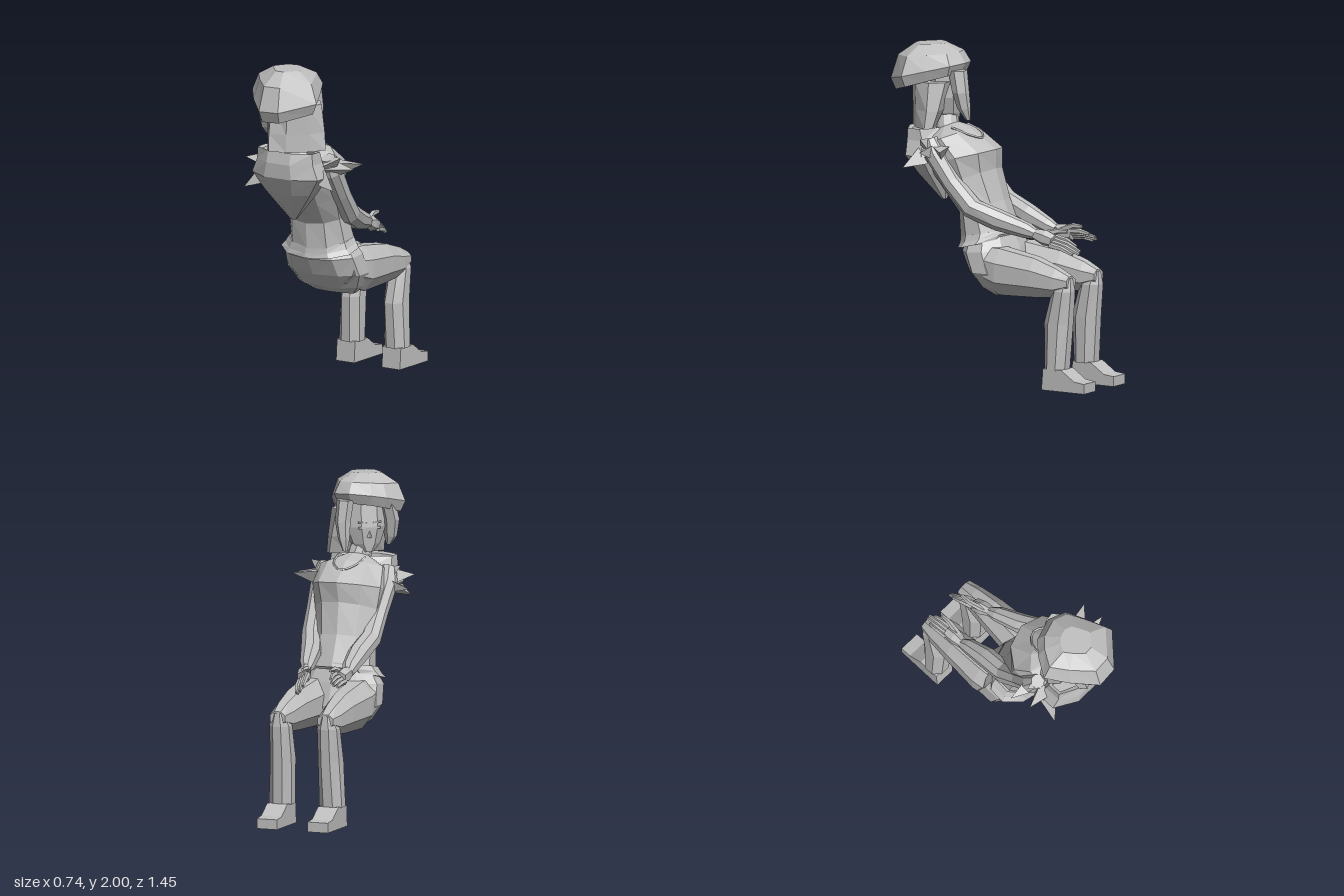
import * as THREE from 'three';

const V = (x, y, z) => new THREE.Vector3(x, y, z);

export function createModel() {
  const model = new THREE.Group();
  model.name = 'seatedFigure';
  const grey = new THREE.MeshStandardMaterial({ color: 0xbfbfbf });
  grey.name = 'plain grey';

  function add(name, geometry, parent = model) {
    const flat = geometry.index ? geometry.toNonIndexed() : geometry;
    flat.computeVertexNormals();
    const mesh = new THREE.Mesh(flat, grey);
    mesh.name = name;
    parent.add(mesh);
    return mesh;
  }

  // Closed faceted skin over rings of equal length, turned outwards
  function skin(rings) {
    const tris = [];
    const n = rings[0].length;
    for (let i = 0; i + 1 < rings.length; i++) {
      for (let j = 0; j < n; j++) {
        const k = (j + 1) % n;
        const [a, b, c, d] = [rings[i][j], rings[i][k], rings[i + 1][k], rings[i + 1][j]];
        tris.push([a, b, c], [a, c, d]);
      }
    }
    const cap = (ring, flip) => {
      const mid = ring.reduce((s, p) => s.add(p), V(0, 0, 0)).divideScalar(n);
      for (let j = 0; j < n; j++) {
        const k = (j + 1) % n;
        tris.push(flip ? [mid, ring[k], ring[j]] : [mid, ring[j], ring[k]]);
      }
    };
    cap(rings[0], true);
    cap(rings[rings.length - 1], false);
    let volume = 0;
    for (const [a, b, c] of tris) volume += a.dot(b.clone().cross(c));
    if (volume < 0) tris.forEach((t) => t.reverse());
    return new THREE.BufferGeometry().setFromPoints(tris.flat());
  }

  // Loft of sections [x, y, z, halfWidth, halfDepth, tilt]; tilt follows the path when omitted
  function loft(sections, n = 8) {
    return skin(sections.map(([x, y, z, rx, rd, tilt], i) => {
      const p = sections[Math.max(i - 1, 0)];
      const q = sections[Math.min(i + 1, sections.length - 1)];
      const a = tilt ?? Math.atan2(q[2] - p[2], -(q[1] - p[1]));
      return Array.from({ length: n }, (_, j) => {
        const t = ((j + 0.5) / n) * Math.PI * 2;
        const grow = 1 / Math.cos(Math.PI / n);
        const u = Math.cos(t) * rx * grow;
        const d = Math.sin(t) * rd * grow;
        return V(x + u, y + d * Math.sin(a), z + d * Math.cos(a));
      });
    }));
  }

  // Torso with neck, leaning back
  add('torso', loft([
    [-0.03, 0.87, 0.075, 0.195, 0.165, -0.15],
    [-0.03, 1.04, 0.12, 0.18, 0.135, -0.3],
    [-0.02, 1.2, 0.2, 0.2, 0.17, -0.4],
    [-0.01, 1.33, 0.25, 0.22, 0.22, -0.25],
    [0, 1.44, 0.33, 0.2, 0.14, -0.4],
    [-0.01, 1.5, 0.37, 0.07, 0.07, -0.4],
    [-0.04, 1.62, 0.4, 0.055, 0.055, -0.2],
  ], 10));

  // Slanting jacket hem and pelvis
  add('jacketHem', loft([
    [-0.035, 0.89, 0.08, 0.2, 0.16, -0.2],
    [-0.04, 0.855, 0.08, 0.22, 0.165, -0.25],
    [-0.04, 0.825, 0.09, 0.245, 0.16, -0.25],
  ], 10));
  add('pelvis', loft([
    [-0.04, 0.86, 0.06, 0.2, 0.14, -0.15],
    [-0.04, 0.79, 0.05, 0.245, 0.165, -0.1],
    [-0.04, 0.67, 0, 0.258, 0.16, 0],
    [-0.04, 0.58, -0.03, 0.21, 0.115, 0],
    [-0.04, 0.53, -0.06, 0.15, 0.05, 0],
  ], 10));

  // Legs and shoes
  for (const side of [-1, 1]) {
    const leg = new THREE.Group();
    leg.name = side > 0 ? 'leftLeg' : 'rightLeg';
    leg.position.x = -0.04;
    model.add(leg);
    const up = Math.PI / 2;
    add('thigh', loft([
      [side * 0.13, 0.72, 0.08, 0.11, 0.1, up],
      [side * 0.145, 0.68, -0.1, 0.112, 0.14, up],
      [side * 0.152, 0.665, -0.34, 0.088, 0.118, up],
      [side * 0.155, 0.645, -0.49, 0.068, 0.088, up],
      [side * 0.155, 0.65, -0.58, 0.05, 0.04, up],
    ]), leg);
    add('shin', loft([
      [side * 0.155, 0.68, -0.56, 0.035, 0.025, 0],
      [side * 0.155, 0.6, -0.53, 0.063, 0.065, 0],
      [side * 0.155, 0.4, -0.495, 0.068, 0.085, 0],
      [side * 0.163, 0.125, -0.49, 0.073, 0.07, 0],
    ]), leg);
    const sole = new THREE.Shape([[0.42, 0], [0.72, 0], [0.72, 0.06], [0.65, 0.068], [0.56, 0.13], [0.43, 0.13]]
      .map(([x, y]) => new THREE.Vector2(x, y)));
    const shoe = new THREE.ExtrudeGeometry(sole, { depth: 0.13, bevelEnabled: false });
    shoe.rotateY(Math.PI / 2);
    shoe.translate(side * 0.165 - 0.065, 0, 0);
    add('shoe', shoe, leg);
  }

  // Arms resting over the lap, hands with four fingers and a thumb
  const arms = [
    { name: 'rightArm', path: [[-0.21, 1.45, 0.36, 0.04], [-0.215, 1.36, 0.32, 0.06], [-0.205, 1.2, 0.21, 0.055], [-0.205, 1.05, 0.08, 0.06], [-0.195, 0.98, -0.08, 0.06], [-0.2, 0.92, -0.22, 0.045], [-0.21, 0.9, -0.27, 0.03]],
      palm: [-0.21, 0.885, -0.39], tip: [-0.225, 0.87, -0.54], thumb: [-0.18, 0.94, -0.47], out: -1 },
    { name: 'leftArm', path: [[0.2, 1.45, 0.36, 0.04], [0.205, 1.36, 0.32, 0.06], [0.195, 1.2, 0.21, 0.055], [0.17, 1.05, 0.08, 0.06], [0.11, 0.98, -0.08, 0.06], [0.065, 0.93, -0.24, 0.045], [0.05, 0.91, -0.29, 0.03]],
      palm: [0.025, 0.875, -0.4], tip: [-0.015, 0.81, -0.56], thumb: [-0.005, 0.935, -0.48], out: 1 },
  ];
  for (const { name, path, palm, tip, thumb, out } of arms) {
    const arm = new THREE.Group();
    arm.name = name;
    model.add(arm);
    add('sleeve', loft(path.map(([x, y, z, r]) => [x, y, z, r, r])), arm);
    const [wx, wy, wz] = path[path.length - 1];
    add('palm', loft([
      [wx, wy, wz, 0.028, 0.03],
      [(wx + palm[0]) / 2, (wy + palm[1]) / 2, (wz + palm[2]) / 2, 0.038, 0.042],
      [...palm, 0.036, 0.034],
    ], 6), arm);
    for (let i = 0; i < 4; i++) {
      const fx = (i - 1.5) * 0.018;
      const fy = -(i - 1.5) * 0.015 * out;
      const reach = i === 0 || i === 3 ? 0.8 : 1;
      const end = palm.map((v, k) => v + (tip[k] - v) * reach);
      add('finger', loft([
        [palm[0] + fx, palm[1] + fy, palm[2] + 0.01, 0.013, 0.014],
        [(palm[0] + end[0]) / 2 + fx, (palm[1] + end[1]) / 2 + 0.008 + fy, (palm[2] + end[2]) / 2, 0.012, 0.013],
        [end[0] + fx * 0.8, end[1] + fy, end[2], 0.007, 0.008],
      ], 5), arm);
    }
    add('thumb', loft([
      [wx - out * 0.02, wy, wz - 0.03, 0.016, 0.018],
      [thumb[0], thumb[1], thumb[2] + 0.06, 0.013, 0.014],
      [...thumb, 0.008, 0.009],
    ], 5), arm);
  }

  // Hollow hood hanging behind the shoulders, coming to a point low on the back
  add('hood', loft([
    [0, 1.39, 0.46, 0.15, 0.08, 0],
    [0, 1.49, 0.48, 0.175, 0.075, 0],
    [0, 1.5, 0.48, 0.195, 0.1, 0],
    [0, 1.43, 0.47, 0.2, 0.128, 0],
    [-0.005, 1.34, 0.46, 0.235, 0.135, 0],
    [-0.01, 1.23, 0.44, 0.16, 0.095, 0],
    [-0.02, 1.055, 0.4, 0.02, 0.015, 0],
  ], 8));

  // Ragged spikes of cloth at the shoulders
  const spikes = [
    [-0.37, 1.33, 0.29], [-0.35, 1.4, 0.43], [-0.27, 1.25, 0.56], [-0.29, 1.46, 0.35],
    [0.35, 1.4, 0.2], [0.37, 1.39, 0.33], [0.32, 1.28, 0.48], [0.3, 1.46, 0.37],
  ];
  for (const [x, y, z] of spikes) {
    const base = V(Math.sign(x) * 0.2, 1.37 + (y - 1.37) * 0.4, 0.36 + (z - 0.36) * 0.5);
    const axis = V(x, y, z).sub(base);
    const length = axis.length();
    const cone = new THREE.ConeGeometry(0.065, length, 3);
    cone.translate(0, length / 2, 0);
    cone.applyQuaternion(new THREE.Quaternion().setFromUnitVectors(V(0, 1, 0), axis.normalize()));
    cone.translate(base.x, base.y, base.z);
    add('shoulderSpike', cone);
  }

  // Necklace
  const chain = new THREE.CatmullRomCurve3([V(-0.09, 1.51, 0.28), V(-0.07, 1.475, 0.17), V(0, 1.45, 0.12), V(0.07, 1.475, 0.17), V(0.09, 1.51, 0.28)]);
  add('necklace', new THREE.TubeGeometry(chain, 12, 0.007, 4));

  // Head, turned towards the right knee; its local +z is the face
  const head = new THREE.Group();
  head.name = 'head';
  head.position.set(0, 1.66, 0.43);
  head.rotation.y = THREE.MathUtils.degToRad(-140);
  model.add(head);
  add('face', loft([
    [0.01, -0.13, 0.09, 0.035, 0.035, 0],
    [0.01, -0.08, 0.05, 0.085, 0.08, 0],
    [0.01, 0.02, 0.03, 0.12, 0.11, 0],
    [0.01, 0.16, 0.01, 0.12, 0.11, 0],
  ], 8), head);
  const nose = add('nose', new THREE.ConeGeometry(0.016, 0.05, 4), head);
  nose.position.set(0.01, -0.015, 0.135);
  for (const s of [-1, 1]) {
    const eye = add('eye', new THREE.BoxGeometry(0.045, 0.012, 0.008), head);
    eye.position.set(0.01 + s * 0.045, 0.02, 0.14);
    const brow = add('eyebrow', new THREE.BoxGeometry(0.055, 0.009, 0.009), head);
    brow.position.set(0.01 + s * 0.045, 0.05, 0.138);
    brow.rotation.z = s * 0.15;
  }
  // Hair locks framing the face, the left one hanging longer and forward
  add('leftHairLock', loft([
    [-0.13, 0.19, 0.1, 0.045, 0.05, 0],
    [-0.15, 0.06, 0.115, 0.04, 0.045, 0],
    [-0.15, -0.04, 0.135, 0.03, 0.035, 0],
    [-0.15, -0.11, 0.16, 0.012, 0.012, 0],
  ], 6), head);
  add('rightHairLock', loft([
    [0.14, 0.16, 0.07, 0.04, 0.08, 0],
    [0.16, 0.06, 0.08, 0.04, 0.08, 0],
    [0.155, -0.04, 0.09, 0.03, 0.06, 0],
    [0.14, -0.09, 0.1, 0.012, 0.02, 0],
  ], 6), head);
  add('backHair', loft([
    [-0.01, -0.155, -0.085, 0.172, 0.06, 0.05],
    [-0.01, -0.05, -0.06, 0.168, 0.085, 0],
    [-0.01, 0.12, -0.03, 0.15, 0.12, 0],
  ], 8), head);

  // Soft cap, sloping down towards the back
  const outline = [[-0.27, 0.47], [-0.2, 0.35], [-0.13, 0.28], [0, 0.24], [0.11, 0.28], [0.18, 0.41], [0.24, 0.54], [0.08, 0.715], [-0.05, 0.725], [-0.18, 0.59]];
  const capRings = [[1.775, 0.7, 0.3], [1.765, 0.88, 0.3], [1.83, 1, 0.25], [1.935, 0.82, 0.1], [1.995, 0.4, 0.03]];
  add('cap', skin(capRings.map(([y, s, slope]) => outline.map(([x, z]) => {
    const dz = (z - 0.48) * s;
    return V(-0.01 + (x + 0.01) * s, y - slope * dz, 0.48 + dz);
  }))));

  return model;
}
